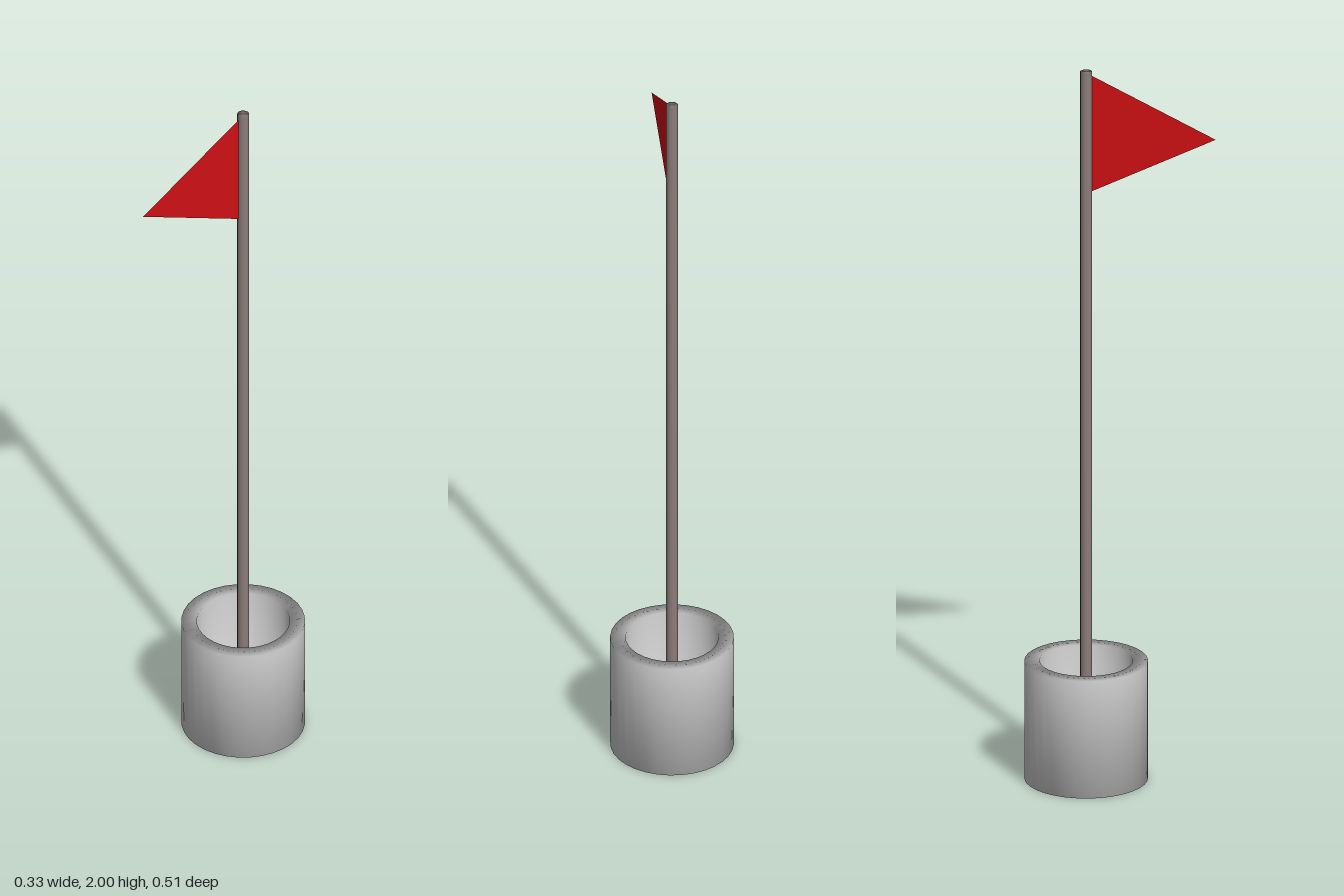
import * as THREE from 'three';

const POLE_Z = -0.092;

// Surface of revolution about the pole axis, from [radius, height] pairs
function turned(name, profile, sides, color) {
  const points = profile.map(([r, y]) => new THREE.Vector2(r, y));
  const mesh = new THREE.Mesh(
    new THREE.LatheGeometry(points, sides),
    new THREE.MeshStandardMaterial({ color })
  );
  mesh.name = name;
  mesh.position.z = POLE_Z;
  return mesh;
}

export function createModel() {
  const group = new THREE.Group();
  group.name = 'flagInCup';

  // Thick-walled hollow cup with softly shaded rim
  const outer = 0.165, inner = 0.124, height = 0.332, floor = 0.04;
  group.add(turned('cup', [
    [0, 0], [outer, 0], [outer, height], [inner, height], [inner, floor], [0, floor],
  ], 32, 0xcccccc));

  // Slim pole standing on the cup floor
  const poleRadius = 0.016;
  group.add(turned('pole', [
    [0, floor], [poleRadius, floor], [poleRadius, 2], [0, 2],
  ], 16, 0x8c7d7a));

  // Triangular pennant, a thin sheet pointing to the front
  const pennant = new THREE.Shape([
    new THREE.Vector2(0.08, 1.66),
    new THREE.Vector2(0.08, 1.99),
    new THREE.Vector2(-0.257, 1.825),
  ]);
  const flag = new THREE.Mesh(
    new THREE.ShapeGeometry(pennant).rotateY(Math.PI / 2),
    new THREE.MeshStandardMaterial({ color: 0xd01014, side: THREE.DoubleSide })
  );
  flag.name = 'flag';
  group.add(flag);

  return group;
}
